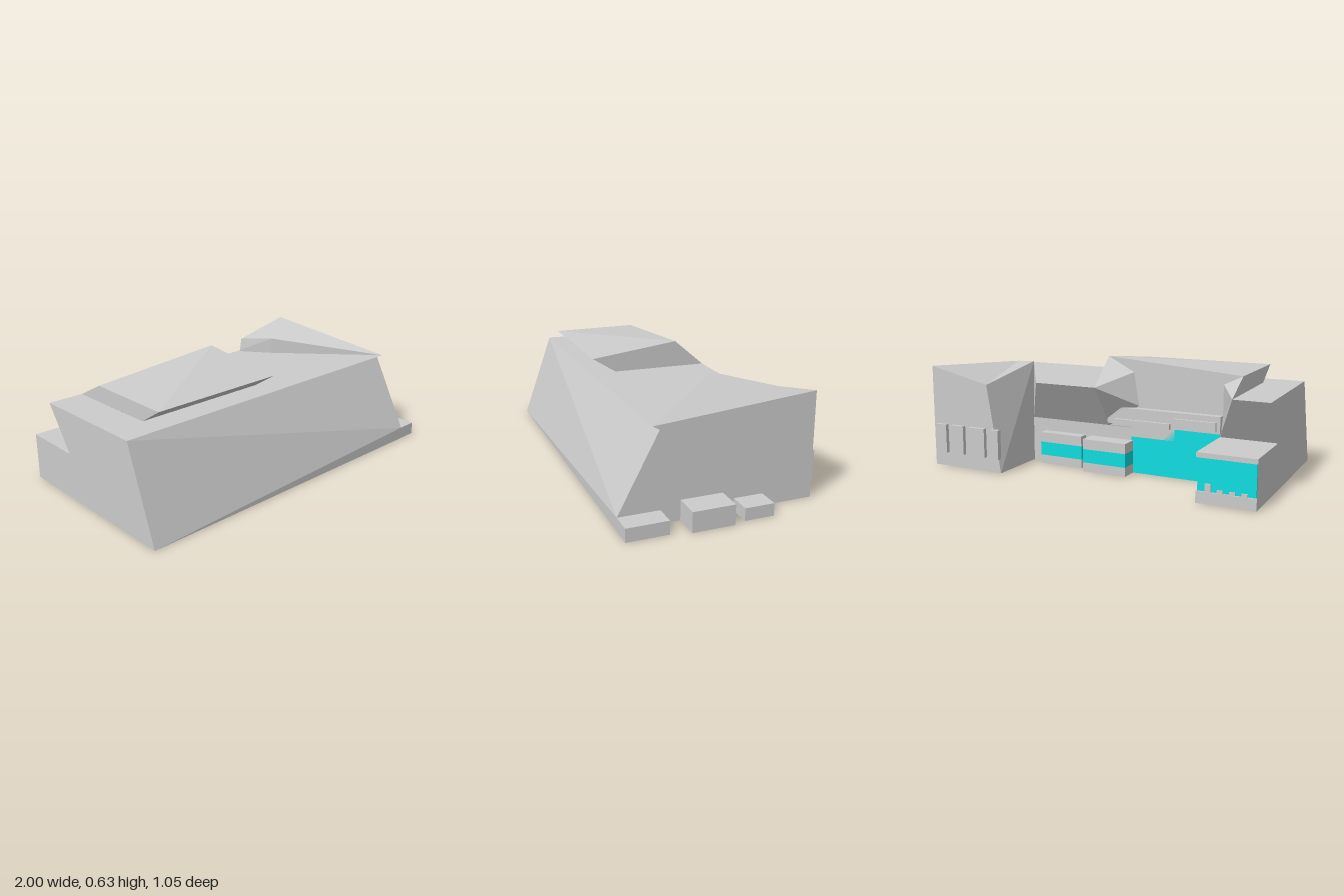
import * as THREE from 'three';

const grey = new THREE.MeshStandardMaterial({ color: 0xcccccc, flatShading: true, side: THREE.DoubleSide });
const cyan = new THREE.MeshStandardMaterial({ color: 0x0ddde0, flatShading: true, side: THREE.DoubleSide });

export function createModel() {
  const model = new THREE.Group();

  // flat panels: each one a convex loop of corners, cut as a fan
  function panels(name, loops, material = grey) {
    const pos = [];
    for (const loop of loops)
      for (let i = 1; i < loop.length - 1; i++) pos.push(...loop[0], ...loop[i], ...loop[i + 1]);
    const geo = new THREE.BufferGeometry();
    geo.setAttribute('position', new THREE.Float32BufferAttribute(pos, 3));
    geo.computeVertexNormals();
    const mesh = new THREE.Mesh(geo, material);
    mesh.name = name;
    model.add(mesh);
  }

  // box given by its extents
  function box(name, x0, x1, y0, y1, z0, z1, material = grey) {
    const mesh = new THREE.Mesh(new THREE.BoxGeometry(x1 - x0, y1 - y0, z1 - z0), material);
    mesh.position.set((x0 + x1) / 2, (y0 + y1) / 2, (z0 + z1) / 2);
    mesh.name = name;
    model.add(mesh);
  }

  // shared corners of the folded shell
  const roofFL = [-1, 0.487, 0.35], roofFR = [0.86, 0.487, 0.35];
  const facadeTR = [0.86, 0.475, 0.31], baseTR = [0.86, 0.07, 0.525];
  const baseFL = [-1, 0, 0.525], baseFR = [0.86, 0, 0.525];
  const peak = [0.42, 0.572, -0.15], peakFoot = [0.42, 0.482, -0.15];
  const wingR = [0.86, 0.56, -0.5], wingL = [0.5, 0.48, -0.5];
  const wingFootR = [0.86, 0, -0.5], wingFootL = [0.42, 0, -0.5];
  const eaveR = [0.3, 0.48, -0.32], eaveM = [-0.06, 0.48, -0.32];
  const eaveL = [-0.81, 0.48, -0.32], eaveEnd = [-1, 0.48, -0.32];
  const soffitR = [0.42, 0.25, -0.16], soffitM = [-0.07, 0.25, -0.16];
  const soffitL = [-0.7, 0.25, -0.16], soffitEnd = [-1, 0.25, -0.16];

  // leaning front and its small overhang
  panels('frontFacade', [
    [baseFL, baseFR, baseTR], [baseFL, baseTR, roofFL],
    [roofFL, baseTR, facadeTR], [roofFL, facadeTR, roofFR],
  ]);

  // side walls
  panels('rightEndWall', [
    [wingFootR, wingR, roofFR, facadeTR, baseTR, baseFR],
  ]);
  panels('leftEndWall', [
    [soffitEnd, eaveEnd, roofFL, baseFL, [-1, 0, -0.16]],
    [soffitEnd, [-1, 0, -0.16], [-1, 0, -0.5], [-1, 0.25, -0.5]],
  ]);

  // main roof around the raised lantern
  panels('mainRoof', [
    [roofFL, [-0.81, 0.487, 0.35], eaveL, eaveEnd],
    [[-0.81, 0.487, 0.35], [-0.06, 0.487, 0.35], [-0.06, 0.484, 0.1], [-0.81, 0.484, 0.1]],
    [[-0.06, 0.487, 0.35], roofFR, peakFoot, eaveR, eaveM],
  ]);

  // folded wing at the rear corner
  panels('wingRoof', [
    [peak, roofFR, wingL], [wingL, roofFR, wingR],
    [peak, peakFoot, roofFR], [peak, eaveR, peakFoot],
  ]);
  panels('wingWalls', [
    [wingFootR, wingFootL, wingL, wingR],
    [wingFootL, [0.42, 0, -0.16], soffitR, peak, wingL],
    [peak, soffitR, eaveR],
  ]);

  // raised lantern on the roof
  const topFL = [-0.81, 0.57, 0.34], topFR = [-0.06, 0.57, 0.34];
  const topBR = [-0.06, 0.628, -0.15], topBL = [-0.81, 0.57, -0.15];
  const footL = [-0.81, 0.486, 0.21], footR = [-0.06, 0.486, 0.21];
  panels('lanternRoof', [[topFL, topFR, topBR], [topFL, topBR, topBL]]);
  panels('lanternSides', [
    [footL, footR, topFR, topFL],
    [footR, topFR, topBR, eaveM],
    [footL, topFL, topBL, eaveL],
  ]);

  // splayed cheeks either side of the terrace recess
  const cheekR = [-0.21, 0.55, -0.15], cheekRLow = [-0.24, 0.37, -0.15];
  const cheekL = [-0.71, 0.52, -0.15], cheekLLow = [-0.71, 0.37, -0.15];
  panels('recessCheeks', [
    [eaveM, topBR, cheekR], [eaveM, cheekR, cheekRLow],
    [eaveL, topBL, cheekL], [eaveL, cheekL, cheekLLow],
  ]);
  panels('recessWall', [[topBL, topBR, [-0.06, 0.25, -0.15], [-0.71, 0.25, -0.15]]]);

  // soffits under the rear eaves
  panels('rearSoffits', [
    [eaveR, eaveM, soffitM, soffitR],
    [eaveM, cheekRLow, soffitM],
    [eaveEnd, eaveL, soffitL, soffitEnd],
    [eaveL, cheekLLow, soffitL],
  ]);

  // rear ground-floor wall and glazing
  panels('rearWall', [
    [[0.42, 0, -0.16], [-0.2, 0, -0.16], [-0.2, 0.25, -0.16], soffitR],
    [[-0.2, 0.2, -0.16], [-0.45, 0.2, -0.16], [-0.45, 0.27, -0.16], [-0.2, 0.27, -0.16]],
  ]);
  panels('rearGlazing', [
    [[-0.2, 0, -0.16], [-0.7, 0, -0.16], [-0.7, 0.27, -0.16], [-0.45, 0.27, -0.16], [-0.45, 0.2, -0.16], [-0.2, 0.2, -0.16]],
  ], cyan);

  // floor
  panels('floor', [
    [baseFL, baseFR, [0.86, 0, -0.16], [-1, 0, -0.16]],
    [[0.42, 0, -0.16], [0.86, 0, -0.16], wingFootR, wingFootL],
    [[-1, 0, -0.16], [-0.7, 0, -0.16], [-0.7, 0, -0.5], [-1, 0, -0.5]],
  ]);

  // terrace parapet with two raised strips
  box('terraceParapet', -0.71, -0.07, 0.27, 0.36, -0.19, -0.15);
  box('parapetStrip', -0.44, -0.12, 0.27, 0.3, -0.21, -0.19);
  box('parapetStrip', -0.69, -0.46, 0.28, 0.33, -0.205, -0.19);

  // glazed rear bays: base, window band and cap
  for (const [x0, x1, z0] of [[0.08, 0.34, -0.215], [-0.21, 0.045, -0.26]]) {
    box('bayBase', x0, x1, 0, 0.05, z0, -0.15);
    box('bayWindow', x0, x1, 0.05, 0.125, z0, -0.15, cyan);
    box('bayCap', x0, x1, 0.125, 0.18, z0, -0.15);
  }

  // low glazed pavilion
  box('pavilionRoof', -1, -0.7, 0.225, 0.25, -0.5, -0.16);
  box('pavilionSill', -1, -0.7, 0, 0.06, -0.5, -0.16);
  box('pavilionGlass', -0.995, -0.705, 0.06, 0.225, -0.49, -0.16, cyan);
  for (let i = 0; i < 4; i++) {
    const x = -0.76 - i * 0.06;
    box('pavilionSeat', x - 0.015, x + 0.015, 0.06, i === 0 ? 0.1 : 0.075, -0.498, -0.47);
  }

  // window panels on the wing's back wall
  for (const [x0, x1] of [[0.42, 0.47], [0.51, 0.615], [0.65, 0.735], [0.765, 0.84]])
    box('wingWindowPanel', x0, x1, 0.08, 0.24, -0.522, -0.495);

  // low blocks along the right end
  box('frontPlanter', 0.86, 0.975, 0, 0.07, 0.31, 0.525);
  box('middlePlanter', 0.86, 1, 0, 0.105, -0.01, 0.21);
  box('rearPlanter', 0.86, 0.98, 0, 0.065, -0.225, -0.07);

  return model;
}
